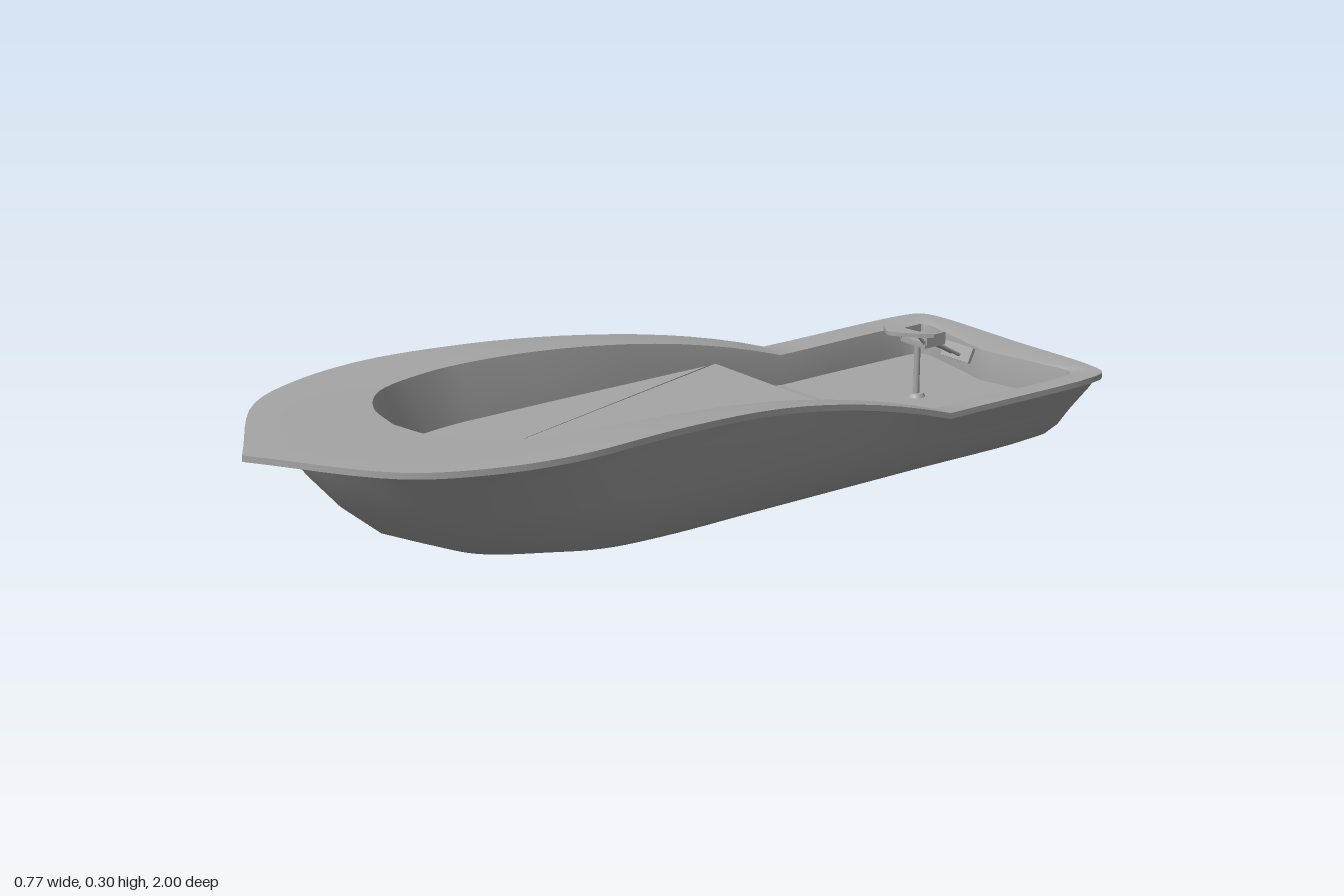
import * as THREE from 'three';
import { toCreasedNormals } from 'three/addons/utils/BufferGeometryUtils.js';

const grey = new THREE.MeshStandardMaterial({ color: 0xa6a6a6 });
grey.name = 'hull grey';

// Height of the gunwale along the length: flat stern, then a rising sweep.
function sheer(z) {
  const t = THREE.MathUtils.clamp((z + 0.52) / 1.02, 0, 1);
  return 0.16 + 0.137 * (1 - Math.pow(1 - t, 2.5));
}

// Half outline [x, z] from stern to bow, smoothed and mirrored into a loop that starts at the bow.
function outline(half) {
  const curve = new THREE.CatmullRomCurve3(half.map(([x, z]) => new THREE.Vector3(x, 0, z)));
  const n = (half.length - 1) * 6;
  const side = [];
  for (let i = n; i >= 0; i--) {
    const p = curve.getPoint(i / n);
    side.push([Math.max(p.x, 0), p.z]);
  }
  const other = side.slice(0, -1).reverse().map(([x, z]) => [-x, z]);
  return side.concat(other);
}

const ring = (half, height) => outline(half).map(([x, z]) => [x, height(z), z]);

// Skin a sequence of matching rings.
function loft(rings, crease = 0.5) {
  const n = rings[0].length;
  const index = [];
  for (let r = 0; r < rings.length - 1; r++) {
    for (let i = 0; i < n - 1; i++) {
      const a = r * n + i, b = a + n;
      index.push(a, b, b + 1, a, b + 1, a + 1);
    }
  }
  const g = new THREE.BufferGeometry();
  g.setAttribute('position', new THREE.Float32BufferAttribute(rings.flat(2), 3));
  g.setIndex(index);
  return toCreasedNormals(g, crease);
}

// Outlines of the rim, cockpit and hull levels.
const rimEdge = [[0, -1], [0.25, -1], [0.295, -0.985], [0.31, -0.94], [0.31, -0.52], [0.325, -0.1],
  [0.365, 0.25], [0.383, 0.5], [0.345, 0.68], [0.265, 0.82], [0, 1]];
const rimCrease = [[0, -0.96], [0.23, -0.965], [0.27, -0.96], [0.285, -0.93], [0.28, -0.52], [0.285, -0.1],
  [0.31, 0.25], [0.333, 0.5], [0.3, 0.67], [0.22, 0.79], [0, 0.94]];
const opening = [[0, -0.905], [0.15, -0.935], [0.235, -0.945], [0.25, -0.92], [0.25, -0.52], [0.255, -0.1],
  [0.262, 0.25], [0.25, 0.42], [0.2, 0.57], [0.11, 0.64], [0, 0.665]];
const floorEdge = [[0, -0.9], [0.15, -0.93], [0.23, -0.94], [0.245, -0.92], [0.245, -0.52], [0.245, -0.1],
  [0.242, 0.25], [0.235, 0.4], [0.2, 0.52], [0.12, 0.57], [0, 0.575]];
const hullTop = [[0, -0.99], [0.24, -0.99], [0.285, -0.975], [0.303, -0.94], [0.303, -0.52], [0.308, -0.1],
  [0.325, 0.25], [0.345, 0.5], [0.31, 0.66], [0.22, 0.78], [0, 0.9]];
const hullUpper = [[0, -0.978], [0.23, -0.978], [0.275, -0.965], [0.29, -0.93], [0.29, -0.52], [0.3, -0.1],
  [0.307, 0.25], [0.308, 0.48], [0.275, 0.63], [0.19, 0.75], [0, 0.865]];
const hullMiddle = [[0, -0.955], [0.21, -0.955], [0.25, -0.94], [0.264, -0.91], [0.264, -0.52], [0.288, -0.1],
  [0.298, 0.2], [0.295, 0.42], [0.255, 0.57], [0.17, 0.69], [0, 0.79]];
const hullLower = [[0, -0.935], [0.2, -0.935], [0.23, -0.92], [0.243, -0.9], [0.243, -0.52], [0.255, -0.1],
  [0.262, 0.2], [0.25, 0.38], [0.215, 0.52], [0.14, 0.63], [0, 0.7]];
const bilge = [[0, -0.915], [0.18, -0.915], [0.21, -0.905], [0.22, -0.88], [0.22, -0.52], [0.232, -0.1],
  [0.235, 0.2], [0.22, 0.34], [0.18, 0.45], [0.11, 0.55], [0, 0.6]];
const bottom = [[0, -0.88], [0.15, -0.88], [0.18, -0.87], [0.19, -0.85], [0.19, -0.52], [0.19, -0.1],
  [0.19, 0.15], [0.175, 0.28], [0.14, 0.36], [0.08, 0.42], [0, 0.45]];

export function createModel() {
  const model = new THREE.Group();
  model.name = 'boat';
  const add = (name, geometry, parent = model) => {
    const mesh = new THREE.Mesh(geometry, grey);
    mesh.name = name;
    parent.add(mesh);
    return mesh;
  };
  const scaled = (k) => (z) => sheer(z) * k;

  // Hull shell, closed along the keel
  const keel = bottom.map(([, z]) => [0, z]);
  add('hull', loft([
    ring(hullTop, (z) => sheer(z) - 0.013), ring(hullUpper, scaled(0.78)), ring(hullMiddle, scaled(0.5)),
    ring(hullLower, scaled(0.25)), ring(bilge, scaled(0.1)), ring(bottom, () => 0), ring(keel, () => 0),
  ], 0.7));

  // Gunwale: inner slope, outer band, edge and underside
  add('rim', loft([
    ring(opening, (z) => sheer(z) - 0.006), ring(rimCrease, sheer), ring(rimEdge, sheer),
    ring(rimEdge, (z) => sheer(z) - 0.013), ring(hullTop, (z) => sheer(z) - 0.013),
  ], 0.4));

  // Cockpit walls
  add('cockpitWall', loft([
    ring(floorEdge, () => 0.07), ring(floorEdge, (z) => Math.min(0.17, sheer(z) - 0.04)),
    ring(opening, (z) => sheer(z) - 0.006),
  ]));

  // Raised front deck ending in a step
  const deckPoints = outline(floorEdge).filter(([, z]) => z > -0.32);
  const half = deckPoints.filter(([x]) => x >= 0);
  const deckShape = new THREE.Shape([
    ...half.map(([x, z]) => new THREE.Vector2(x, -z)), new THREE.Vector2(0.247, 0.33),
    new THREE.Vector2(-0.247, 0.33),
    ...half.slice(1).reverse().map(([x, z]) => new THREE.Vector2(-x, -z)),
  ]);
  const deck = new THREE.ExtrudeGeometry(deckShape, { depth: 0.09, bevelEnabled: false });
  deck.rotateX(-Math.PI / 2).translate(0, 0.08, 0);
  add('frontDeck', deck);

  // Rear floor, ramping up to the step
  const floorShape = new THREE.Shape([[0.94, 0.075], [0.94, 0.085], [0.52, 0.085], [0.32, 0.11], [0.32, 0.075]]
    .map(([z, y]) => new THREE.Vector2(z, y)));
  const floor = new THREE.ExtrudeGeometry(floorShape, { depth: 0.495, bevelEnabled: false });
  floor.rotateY(Math.PI / 2).translate(-0.2475, 0, 0);
  add('rearFloor', floor);

  // Helm seat on a post, with a steering panel ahead and a tilted pad behind
  const helm = new THREE.Group();
  helm.name = 'helm';
  model.add(helm);
  const rod = (name, a, b, r) => {
    const path = new THREE.LineCurve3(new THREE.Vector3(...a), new THREE.Vector3(...b));
    add(name, new THREE.TubeGeometry(path, 1, r, 8), helm);
  };
  add('postBase', new THREE.CylinderGeometry(0.016, 0.02, 0.008, 20).translate(0, 0.089, -0.705), helm);
  add('post', new THREE.CylinderGeometry(0.007, 0.007, 0.125, 12).translate(0, 0.147, -0.705), helm);
  add('seat', new THREE.BoxGeometry(0.08, 0.012, 0.06).translate(0, 0.212, -0.72), helm);
  for (const s of [-1, 1]) {
    add('armRest', new THREE.BoxGeometry(0.008, 0.022, 0.055).translate(s * 0.04, 0.225, -0.72), helm);
    rod('panelStrut', [s * 0.036, 0.21, -0.7], [s * 0.036, 0.247, -0.665], 0.004);
    rod('padStrut', [s * 0.013, 0.207, -0.74], [s * 0.013, 0.163, -0.82], 0.004);
  }
  const panelShape = new THREE.Shape();
  panelShape.moveTo(-0.08, 0.68);
  panelShape.quadraticCurveTo(-0.045, 0.635, 0, 0.615);
  panelShape.quadraticCurveTo(0.045, 0.635, 0.08, 0.68);
  panelShape.quadraticCurveTo(0, 0.645, -0.08, 0.68);
  const panel = new THREE.ExtrudeGeometry(panelShape, { depth: 0.009, bevelEnabled: false });
  panel.rotateX(-Math.PI / 2).translate(0, 0.242, 0);
  add('steeringPanel', panel, helm);
  const pad = add('rearPad', new THREE.BoxGeometry(0.09, 0.035, 0.008), helm);
  pad.position.set(0, 0.165, -0.828);
  pad.rotation.x = -0.45;

  return model;
}
